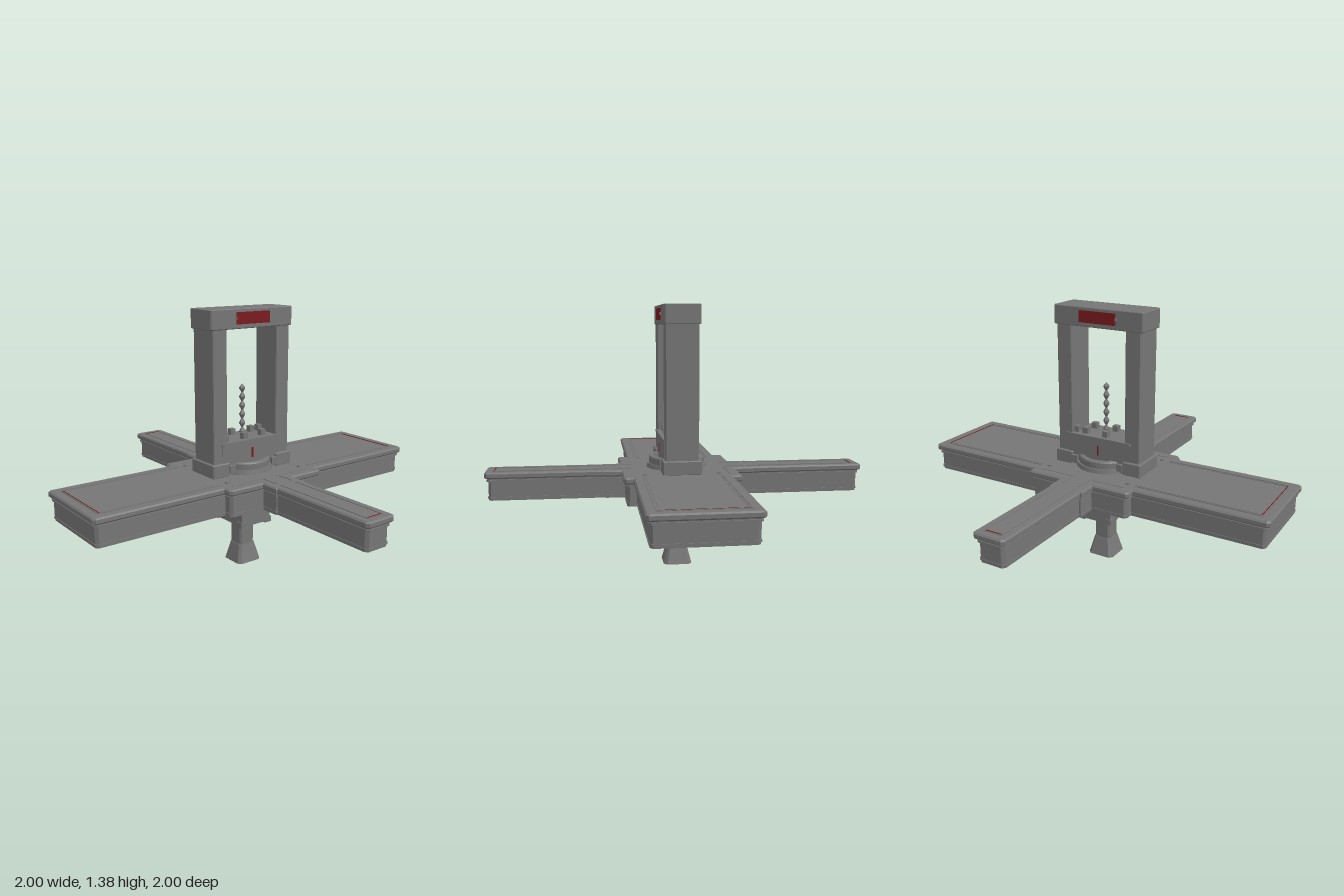
import * as THREE from 'three';

export function createModel() {
  const model = new THREE.Group();
  const mat = (name, color) => {
    const m = new THREE.MeshStandardMaterial({ color });
    m.name = name;
    return m;
  };
  const stone = mat('grey stone', 0x767575);
  const red = mat('dark red', 0x7a1a1d);

  const add = (name, geo, material, x = 0, y = 0, z = 0) => {
    const mesh = new THREE.Mesh(geo, material);
    mesh.name = name;
    mesh.position.set(x, y, z);
    model.add(mesh);
    return mesh;
  };
  // Box given by its full width and depth, bottom and top heights, and centre
  const box = (name, w, d, y0, y1, x = 0, z = 0, material = stone) =>
    add(name, new THREE.BoxGeometry(w, y1 - y0, d), material, x, (y0 + y1) / 2, z);

  // Horizontal outline extruded upward, with an optional bevelled rim
  const slab = (name, points, y0, y1, bevel = 0) => {
    const geo = new THREE.ExtrudeGeometry(new THREE.Shape(points), {
      depth: y1 - y0 - 2 * bevel, bevelEnabled: bevel > 0,
      bevelThickness: bevel, bevelSize: bevel, bevelOffset: -bevel, bevelSegments: 1,
    });
    geo.rotateX(-Math.PI / 2);
    return add(name, geo, stone, 0, y0 + bevel, 0);
  };
  // Faceted turned shape from [radius, height] pairs
  const turned = (name, profile, sides) => {
    const geo = new THREE.LatheGeometry(profile.map(([r, y]) => new THREE.Vector2(r, y)), sides).toNonIndexed();
    geo.computeVertexNormals();
    return add(name, geo, stone);
  };

  // Stepped cross outline, inset by d, outer corners cut
  const crossOutline = (d) => {
    const c = 0.014;
    const steps = [[1, 0.25], [0.3, 0.3], [0.097, 0.4], [0.088, 1]];
    const quarter = [];
    steps.forEach(([sx, sz], i) => {
      const x = sx - d, z = sz - d;
      if (i > 0) quarter.push([x, steps[i - 1][1] - d]);
      if (i === 2) quarter.push([x, z]);
      else quarter.push([x, z - c], [x - c, z]);
    });
    const flip = (sx, sz, rev) => {
      const q = quarter.map(([x, z]) => new THREE.Vector2(x * sx, z * sz));
      return rev ? q.reverse() : q;
    };
    return [...flip(1, 1), ...flip(-1, 1, true), ...flip(-1, -1), ...flip(1, -1, true)];
  };

  // Deck: stacked mouldings
  slab('deckBase', crossOutline(0.019), 0.379, 0.39);
  slab('deckLowerLedge', crossOutline(0.015), 0.39, 0.398);
  slab('deckWall', crossOutline(0.018), 0.398, 0.478);
  slab('deckUpperLedge', crossOutline(0.011), 0.478, 0.488);
  slab('deckNeck', crossOutline(0.016), 0.488, 0.495);
  slab('deckCap', crossOutline(0), 0.495, 0.527, 0.007);

  // Raised border lines on the wings and arms, with red inlays at the ends
  const line = 0.006, top = 0.526;
  for (const s of [-1, 1]) {
    for (const t of [-1, 1]) {
      box('wingBorder', 0.665, line, top, top + 0.004, s * 0.6175, t * 0.2);
      box('wingInnerBorder', 0.655, 0.004, top, top + 0.003, s * 0.6125, t * 0.187);
      box('armBorder', line, 0.58, top, top + 0.004, t * 0.047, s * 0.67);
      box('crossingLine', line, 0.1, top, top + 0.004, t * 0.05, s * 0.3);
      box('crossingEdge', 0.19, 0.004, top, top + 0.003, t * 0.155, s * 0.245);
      box('deckBolt', 0.016, 0.016, top, top + 0.008, t * 0.24, s * 0.19);
    }
    box('wingEndBorder', line, 0.4, top, top + 0.004, s * 0.95, 0);
    box('wingEndInlay', 0.003, 0.38, top, top + 0.004, s * 0.943, 0, red);
    box('armEndBorder', 0.1, line, top, top + 0.003, 0, s * 0.96);
    box('armEndInlay', 0.088, 0.003, top, top + 0.004, 0, s * 0.953, red);
  }

  // Gateway: plinths, pillars and lintel
  const chamferRect = (x, z, c) => [
    [x, z - c], [x - c, z], [-x + c, z], [-x, z - c],
    [-x, -z + c], [-x + c, -z], [x - c, -z], [x, -z + c],
  ].map(([a, b]) => new THREE.Vector2(a, b));
  for (const s of [-1, 1]) {
    slab('pillarPlinth', chamferRect(0.053, 0.1, 0.006), 0.525, 0.597, 0.004).position.x = s * 0.206;
    slab('pillar', chamferRect(0.043, 0.085, 0.004), 0.595, 1.285).position.x = s * 0.202;
  }
  slab('lintel', chamferRect(0.259, 0.091, 0.006), 1.277, 1.377, 0.004);
  for (const s of [-1, 1]) {
    box('lintelPanel', 0.21, 0.009, 1.3, 1.36, 0, s * 0.0925, red);
    for (const t of [-1, 1]) box('panelClip', 0.007, 0.012, 1.324, 1.338, t * 0.107, s * 0.0925);
  }

  // Altar platform between the pillars
  box('platform', 0.38, 0.176, 0.525, 0.69);
  slab('platformLip', chamferRect(0.196, 0.093, 0.005), 0.686, 0.7);
  for (const s of [-1, 1]) box('platformStripe', 0.008, 0.006, 0.6, 0.655, 0, s * 0.088, red);
  for (const [x, z] of [[-0.15, 0.05], [-0.03, 0.055], [0.095, 0.045], [0.15, -0.05], [-0.03, -0.055], [0.095, -0.05]])
    box('platformBlock', 0.032, 0.03, 0.7, 0.732, x, z);

  // Round step with a raised rim and side clamps
  add('roundStep', new THREE.CylinderGeometry(0.155, 0.16, 0.022, 40), stone, 0, 0.538, 0);
  turned('stepRim', [[0.12, 0.54], [0.147, 0.54], [0.147, 0.58], [0.142, 0.587], [0.12, 0.587], [0.12, 0.54]], 40);
  for (const s of [-1, 1]) for (const t of [-1, 1])
    box('stepClamp', 0.034, 0.03, 0.542, 0.58, s * 0.138, t * 0.09);

  // Chain of faceted beads
  const beads = [];
  for (let i = 0; i < 6; i++) {
    const y = 0.7 + i * 0.047;
    beads.push([0.005, y], [0.016, y + 0.02], [0.016, y + 0.027]);
  }
  turned('chain', [...beads, [0, 0.98]], 6);

  // Housing under the deck
  box('housing', 0.19, 0.244, 0.235, 0.385);
  box('housingCollar', 0.24, 0.26, 0.37, 0.384);
  for (const s of [-1, 1]) {
    for (const t of [-1, 1]) box('housingFoot', 0.04, 0.04, 0.229, 0.26, s * 0.081, t * 0.105);
    box('sideSlot', 0.016, 0.104, 0.303, 0.32, s * 0.098);
    const knob = add('sideKnob', new THREE.CylinderGeometry(0.012, 0.012, 0.02, 12), stone, s * 0.098, 0.362, 0);
    knob.rotation.z = Math.PI / 2;
  }

  // Stem and flared foot
  slab('stem', chamferRect(0.046, 0.046, 0.01), 0.1, 0.24);
  const foot = slab('flaredFoot', chamferRect(0.075, 0.075, 0.018), 0, 0.1);
  const p = foot.geometry.attributes.position;
  for (let i = 0; i < p.count; i++) {
    const k = p.getY(i) > 0.05 ? 0.66 : 1;
    p.setXYZ(i, p.getX(i) * k, p.getY(i), p.getZ(i) * k);
  }
  foot.geometry.computeVertexNormals();

  return model;
}
